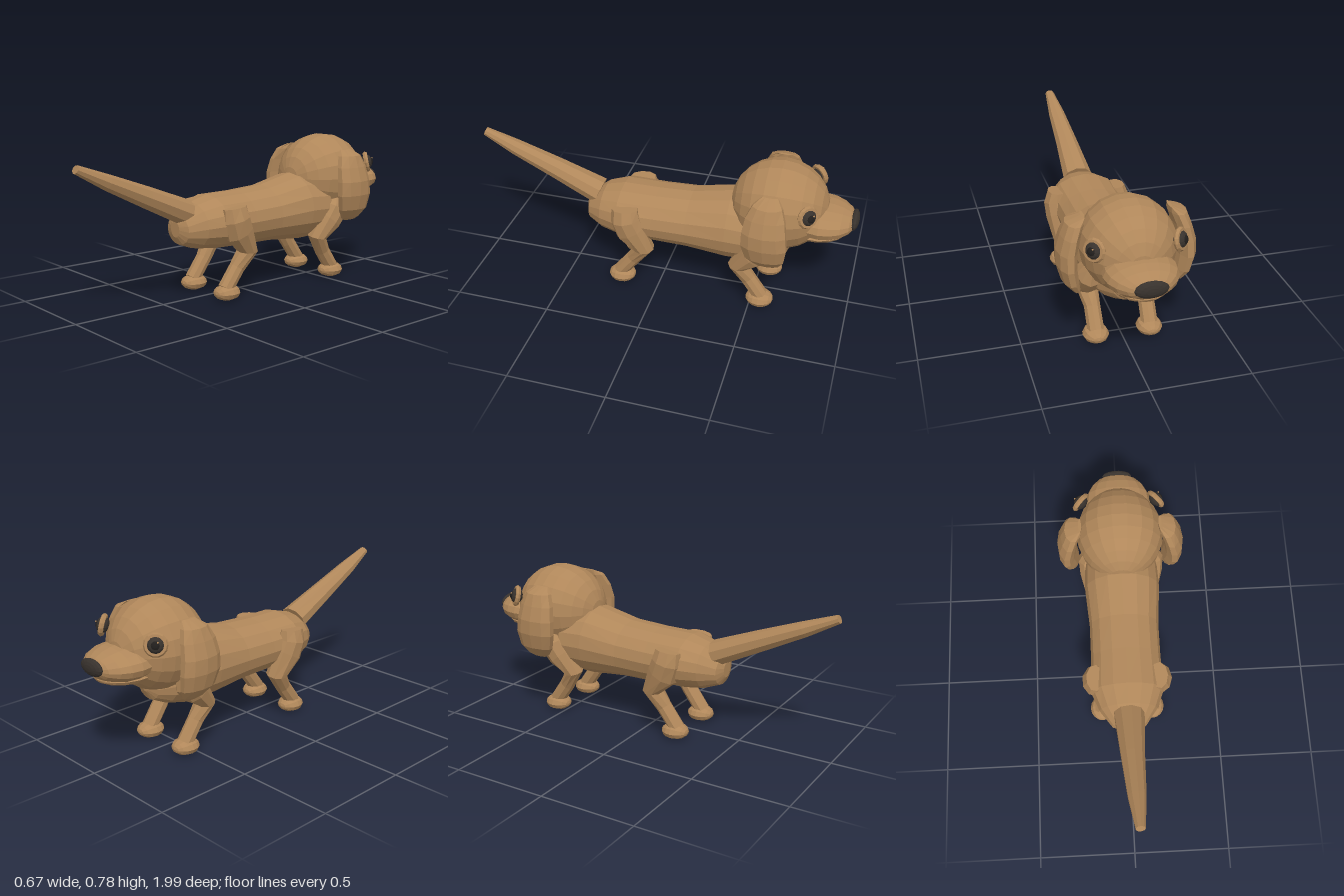
import * as THREE from 'three';

const fur = new THREE.MeshStandardMaterial({ color: 0xb0875a });
const black = new THREE.MeshStandardMaterial({ color: 0x38322d });
const pupilBlack = new THREE.MeshStandardMaterial({ color: 0x221f1d });
fur.name = 'brownFur';
black.name = 'softBlack';
pupilBlack.name = 'pupilBlack';

// Faceted mesh with one normal per face
function facet(name, geometry, material = fur) {
  const g = geometry.index ? geometry.toNonIndexed() : geometry;
  g.computeVertexNormals();
  const mesh = new THREE.Mesh(g, material);
  mesh.name = name;
  return mesh;
}

// Closed skin through sections [x, y, z, radiusA, radiusB]; rings face the path or a fixed axis
function loft(name, sections, sides, axis) {
  const pts = sections.map((s) => new THREE.Vector3(s[0], s[1], s[2]));
  const pos = [];
  const index = [];
  const last = pts.length - 1;
  sections.forEach(([, , , a, b = a], i) => {
    const t = axis ? axis.clone()
      : pts[Math.min(i + 1, last)].clone().sub(pts[Math.max(i - 1, 0)]).normalize();
    const u = new THREE.Vector3(1, 0, 0);
    u.addScaledVector(t, -u.dot(t)).normalize();
    const v = new THREE.Vector3().crossVectors(t, u);
    for (let j = 0; j < sides; j++) {
      const q = (j / sides) * Math.PI * 2;
      const p = pts[i].clone().addScaledVector(u, a * Math.cos(q)).addScaledVector(v, b * Math.sin(q));
      pos.push(p.x, p.y, p.z);
    }
  });
  for (let i = 0; i < last; i++) {
    for (let j = 0; j < sides; j++) {
      const k = (j + 1) % sides;
      const a = i * sides + j, b = i * sides + k;
      index.push(a, b, b + sides, a, b + sides, a + sides);
    }
  }
  const end = last * sides;
  for (let j = 1; j < sides - 1; j++) {
    index.push(0, j + 1, j, end, end + j, end + j + 1);
  }
  const g = new THREE.BufferGeometry();
  g.setAttribute('position', new THREE.Float32BufferAttribute(pos, 3));
  g.setIndex(index);
  return facet(name, g);
}

function ellipsoid(name, [x, y, z], [rx, ry, rz], material = fur, w = 14, h = 9) {
  const g = new THREE.SphereGeometry(1, w, h).rotateX(Math.PI / 2).scale(rx, ry, rz);
  const mesh = facet(name, g, material);
  mesh.position.set(x, y, z);
  return mesh;
}

// Domed eye with a fur lid ring and a small glint, looking outwards
function makeEye(s) {
  const eye = new THREE.Group();
  eye.name = s > 0 ? 'eyeLeft' : 'eyeRight';
  const lid = facet('eyelid', new THREE.TorusGeometry(0.044, 0.014, 6, 14));
  const ball = ellipsoid('eyeball', [0, 0, 0], [0.042, 0.042, 0.032], black, 12, 8);
  const pupil = ellipsoid('pupil', [0, 0, 0.024], [0.022, 0.022, 0.012], pupilBlack, 10, 6);
  const glint = ellipsoid('glint', [0.012, 0.014, 0.034], [0.005, 0.005, 0.004], fur, 6, 4);
  eye.add(lid, ball, pupil, glint);
  eye.position.set(s * 0.2, 0.635, -0.765);
  eye.lookAt(s * 0.9, 0.85, -1.4);
  return eye;
}

export function createModel() {
  const dog = new THREE.Group();
  dog.name = 'longDog';

  // Long trunk from rump to chest
  dog.add(loft('body', [
    [0, 0.375, 0.42, 0.035, 0.04],
    [0, 0.37, 0.4, 0.09, 0.075],
    [0, 0.385, 0.32, 0.15, 0.12],
    [0, 0.393, 0.22, 0.19, 0.14],
    [0, 0.39, 0.03, 0.183, 0.145],
    [0, 0.393, -0.15, 0.183, 0.152],
    [0, 0.405, -0.36, 0.2, 0.185],
    [0, 0.4, -0.5, 0.195, 0.175],
    [0, 0.37, -0.6, 0.15, 0.12],
    [0, 0.35, -0.66, 0.08, 0.07],
    [0, 0.345, -0.68, 0.02, 0.02],
  ], 16, new THREE.Vector3(0, 0, -1)));

  // Raised tapering tail
  dog.add(loft('tail', [
    [0, 0.455, 0.36, 0.08, 0.068],
    [0.005, 0.56, 0.6, 0.061, 0.055],
    [0.013, 0.655, 0.82, 0.046, 0.04],
    [0.02, 0.73, 0.985, 0.024, 0.022],
  ], 9));

  // Head, muzzle and nose
  dog.add(
    ellipsoid('head', [0, 0.56, -0.603], [0.23, 0.23, 0.247], fur, 18, 12),
    ellipsoid('muzzle', [0, 0.52, -0.815], [0.175, 0.085, 0.175], fur, 16, 10),
    ellipsoid('lowerJaw', [0, 0.46, -0.785], [0.14, 0.043, 0.165], fur, 14, 9),
    ellipsoid('nose', [0, 0.53, -0.977], [0.08, 0.042, 0.023], black, 14, 8),
  );

  for (const s of [1, -1]) {
    const side = s > 0 ? 'Left' : 'Right';
    dog.add(makeEye(s));

    // Hanging ear
    dog.add(loft('ear' + side, [
      [s * 0.208, 0.72, -0.58, 0.008, 0.04],
      [s * 0.245, 0.69, -0.575, 0.045, 0.075],
      [s * 0.268, 0.63, -0.572, 0.045, 0.1],
      [s * 0.285, 0.555, -0.572, 0.05, 0.112],
      [s * 0.287, 0.48, -0.576, 0.048, 0.117],
      [s * 0.272, 0.4, -0.582, 0.042, 0.1],
      [s * 0.248, 0.35, -0.588, 0.023, 0.065],
      [s * 0.24, 0.335, -0.59, 0.01, 0.04],
    ], 10, new THREE.Vector3(0, -1, 0)));

    // Bent hind and fore legs
    dog.add(loft('hindLeg' + side, [
      [s * 0.165, 0.48, 0.17, 0.045, 0.07],
      [s * 0.168, 0.42, 0.165, 0.066, 0.08],
      [s * 0.165, 0.35, 0.14, 0.064, 0.083],
      [s * 0.15, 0.245, 0.075, 0.056, 0.056],
      [s * 0.138, 0.16, 0.135, 0.041, 0.041],
      [s * 0.137, 0.06, 0.21, 0.042, 0.04],
    ], 9));
    dog.add(loft('foreLeg' + side, [
      [s * 0.16, 0.44, -0.57, 0.04, 0.05],
      [s * 0.168, 0.39, -0.55, 0.064, 0.078],
      [s * 0.165, 0.33, -0.505, 0.063, 0.072],
      [s * 0.15, 0.245, -0.432, 0.054, 0.052],
      [s * 0.138, 0.16, -0.485, 0.041, 0.041],
      [s * 0.137, 0.06, -0.555, 0.042, 0.04],
    ], 9));

    // Round paws
    dog.add(
      ellipsoid('hindPaw' + side, [s * 0.137, 0.041, 0.2], [0.066, 0.041, 0.072], fur, 10, 8),
      ellipsoid('forePaw' + side, [s * 0.137, 0.041, -0.552], [0.066, 0.041, 0.072], fur, 10, 8),
    );
  }
  return dog;
}
